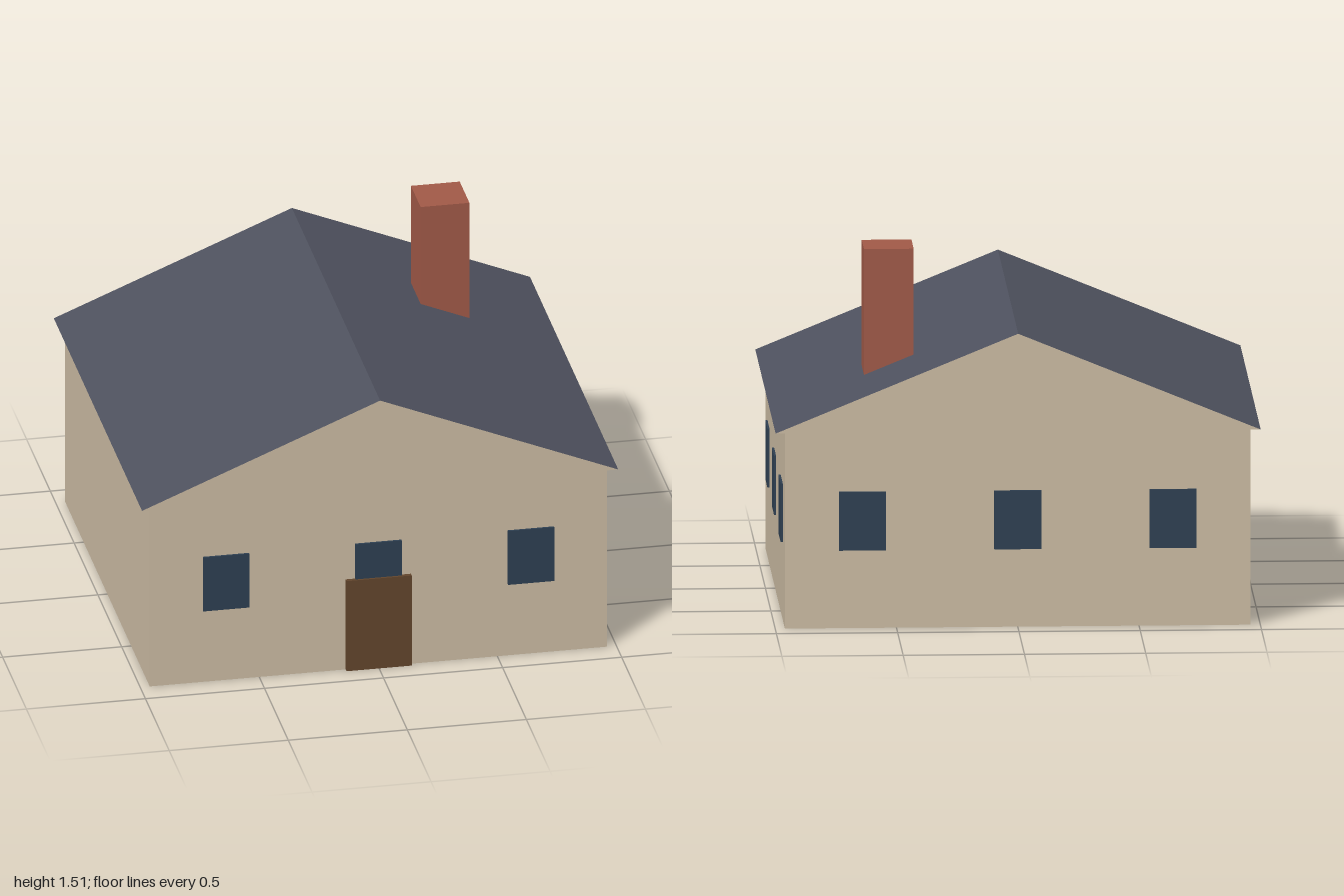
import * as THREE from 'three';

const mat = (name, color) => {
  const m = new THREE.MeshStandardMaterial({ color });
  m.name = name;
  return m;
};

export function createModel() {
  const plaster = mat('beige plaster', 0xcabaa2);
  const slate = mat('slate roof', 0x4e515e);
  const brick = mat('red brick', 0xa05947);
  const wood = mat('brown wood', 0x62452c);
  const glass = mat('dark blue glass', 0x2d3f51);

  const house = new THREE.Group();
  house.name = 'house';
  const add = (name, geometry, material, x = 0, y = 0, z = 0) => {
    const mesh = new THREE.Mesh(geometry, material);
    mesh.name = name;
    mesh.position.set(x, y, z);
    house.add(mesh);
    return mesh;
  };

  const W = 0.96, D = 0.89, eaves = 0.825; // half width, half depth, wall height
  const ridge = 1.235, roofD = 0.928;

  // Walls
  add('walls', new THREE.BoxGeometry(2 * W, eaves, 2 * D), plaster, 0, eaves / 2, 0);

  // Gabled roof: plaster gable ends, slate slopes and soffit
  const gable = new THREE.Shape([
    new THREE.Vector2(-1, eaves),
    new THREE.Vector2(1, eaves),
    new THREE.Vector2(0, ridge),
  ]);
  const roof = new THREE.ExtrudeGeometry(gable, { depth: 2 * roofD, bevelEnabled: false });
  add('roof', roof, [plaster, slate], 0, 0, -roofD);

  // Chimney, sunk into the right slope
  const top = 1.51, base = 0.9;
  add('chimney', new THREE.BoxGeometry(0.205, top - base, 0.205), brick, 0.513, (top + base) / 2, -0.378);

  // Door
  add('door', new THREE.BoxGeometry(0.274, 0.412, 0.018), wood, 0, 0.206, D + 0.009);

  // Windows: three each on the front, back and right walls
  const pane = new THREE.BoxGeometry(0.194, 0.246, 0.009);
  for (const p of [-0.6, 0, 0.6]) {
    add('frontWindow', pane, glass, p * 1.067, 0.449, D + 0.0045);
    add('backWindow', pane, glass, p * 1.067, 0.449, -D - 0.0045);
    add('rightWindow', pane, glass, W + 0.0045, 0.449, p).rotation.y = Math.PI / 2;
  }

  return house;
}
